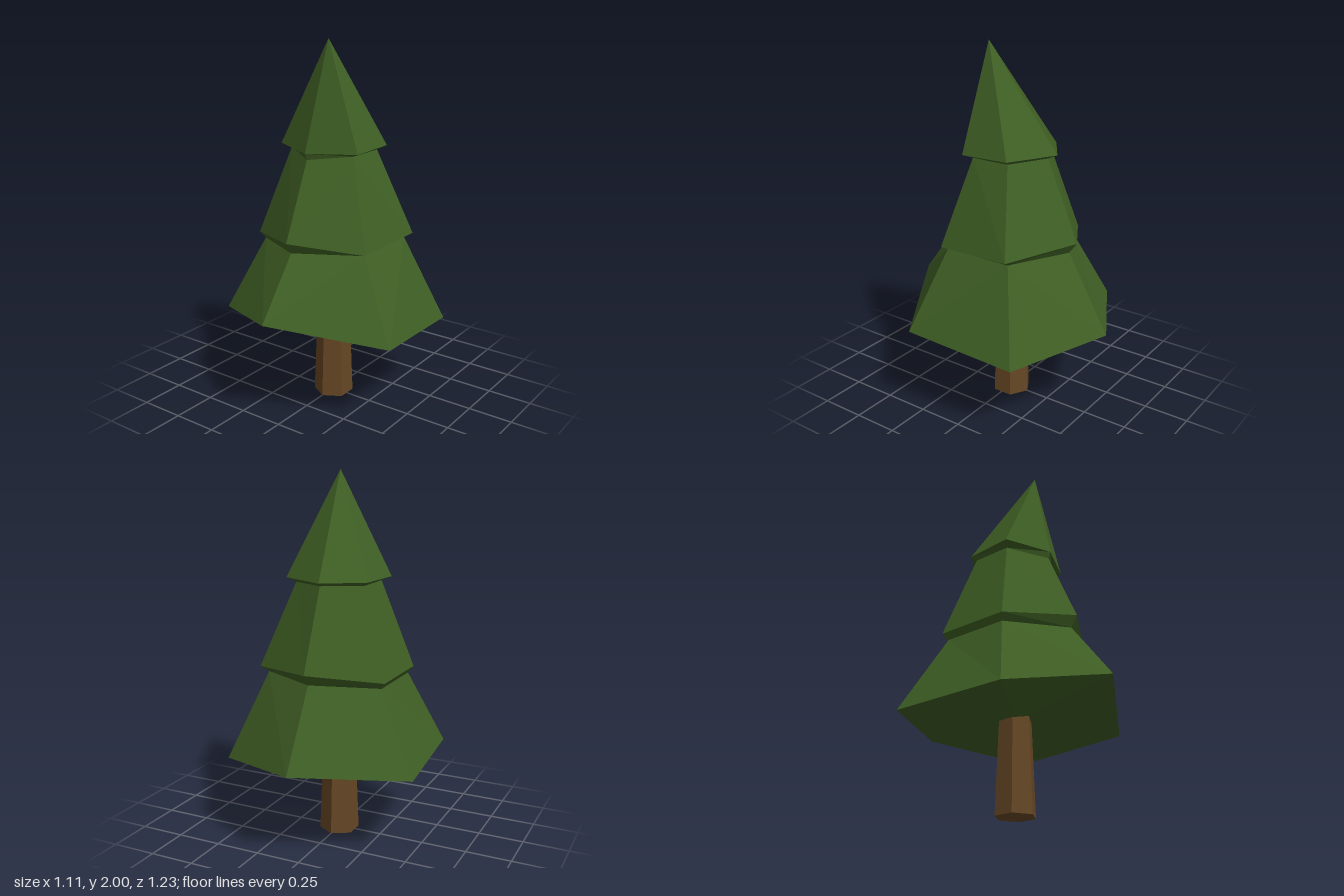
import * as THREE from 'three';

const foliage = new THREE.MeshStandardMaterial({ color: 0x3f5f24 });
foliage.name = 'foliage green';
foliage.flatShading = true;
const bark = new THREE.MeshStandardMaterial({ color: 0x664724 });
bark.name = 'bark brown';
bark.flatShading = true;

// Regular six-sided ring; corners run front, right-front, ... anticlockwise from above
function hexRing(y, r, z = 0) {
  return Array.from({ length: 6 }, (_, i) => {
    const a = (i * Math.PI) / 3;
    return new THREE.Vector3(Math.sin(a) * r, y, z + Math.cos(a) * r);
  });
}

const ring = (points) => points.map((p) => new THREE.Vector3(...p));

// Skins rings from bottom to top and closes both ends with fans
function loft(rings, bottom, top) {
  const pos = [];
  const tri = (...v) => v.forEach((p) => pos.push(p.x, p.y, p.z));
  const first = rings[0];
  const last = rings[rings.length - 1];
  for (let i = 0; i < 6; i++) {
    const j = (i + 1) % 6;
    tri(bottom, first[j], first[i]);
    for (let k = 0; k + 1 < rings.length; k++) {
      const [a, b, c, d] = [rings[k][i], rings[k][j], rings[k + 1][j], rings[k + 1][i]];
      // split each panel along its shorter diagonal
      if (a.distanceTo(c) < b.distanceTo(d)) {
        tri(a, b, c);
        tri(a, c, d);
      } else {
        tri(a, b, d);
        tri(b, c, d);
      }
    }
    tri(last[i], last[j], top);
  }
  const g = new THREE.BufferGeometry();
  g.setAttribute('position', new THREE.Float32BufferAttribute(pos, 3));
  g.computeVertexNormals();
  return g;
}

export function createModel() {
  const tree = new THREE.Group();
  tree.name = 'pineTree';

  // Tapered trunk reaching a little into the foliage
  const trunk = new THREE.Mesh(
    loft([hexRing(0, 0.11, -0.005), hexRing(0.54, 0.089, -0.005)],
      new THREE.Vector3(0, 0, -0.005), new THREE.Vector3(0, 0.54, -0.005)),
    bark
  );
  trunk.name = 'trunk';
  tree.add(trunk);

  // Three uneven tiers: skirt, waist, skirt, waist, skirt, leaning tip
  const rings = [
    ring([[0, 0.61, 0.61], [0.55, 0.5, 0.28], [0.51, 0.45, -0.355],
      [0, 0.515, -0.615], [-0.555, 0.48, -0.31], [-0.5, 0.5, 0.32]]),
    ring([[0, 0.93, 0.37], [0.325, 0.93, 0.18], [0.325, 0.93, -0.21],
      [0, 0.93, -0.375], [-0.33, 0.905, -0.19], [-0.33, 0.905, 0.18]]),
    ring([[0, 0.99, 0.408], [0.35, 0.94, 0.208], [0.37, 0.957, -0.225],
      [0, 0.99, -0.42], [-0.355, 0.94, -0.213], [-0.355, 0.94, 0.2]]),
    ring([[0, 1.395, 0.23], [0.2, 1.415, 0.1], [0.2, 1.415, -0.12],
      [0, 1.42, -0.235], [-0.2, 1.42, -0.12], [-0.2, 1.42, 0.1]]),
    ring([[0, 1.43, 0.245], [0.248, 1.435, 0.133], [0.245, 1.44, -0.145],
      [-0.015, 1.44, -0.28], [-0.225, 1.44, -0.14], [-0.245, 1.44, 0.132]]),
  ];
  const branches = new THREE.Mesh(
    loft(rings, new THREE.Vector3(0, 0.495, 0), new THREE.Vector3(0.047, 2, 0.105)),
    foliage
  );
  branches.name = 'foliage';
  tree.add(branches);

  return tree;
}
